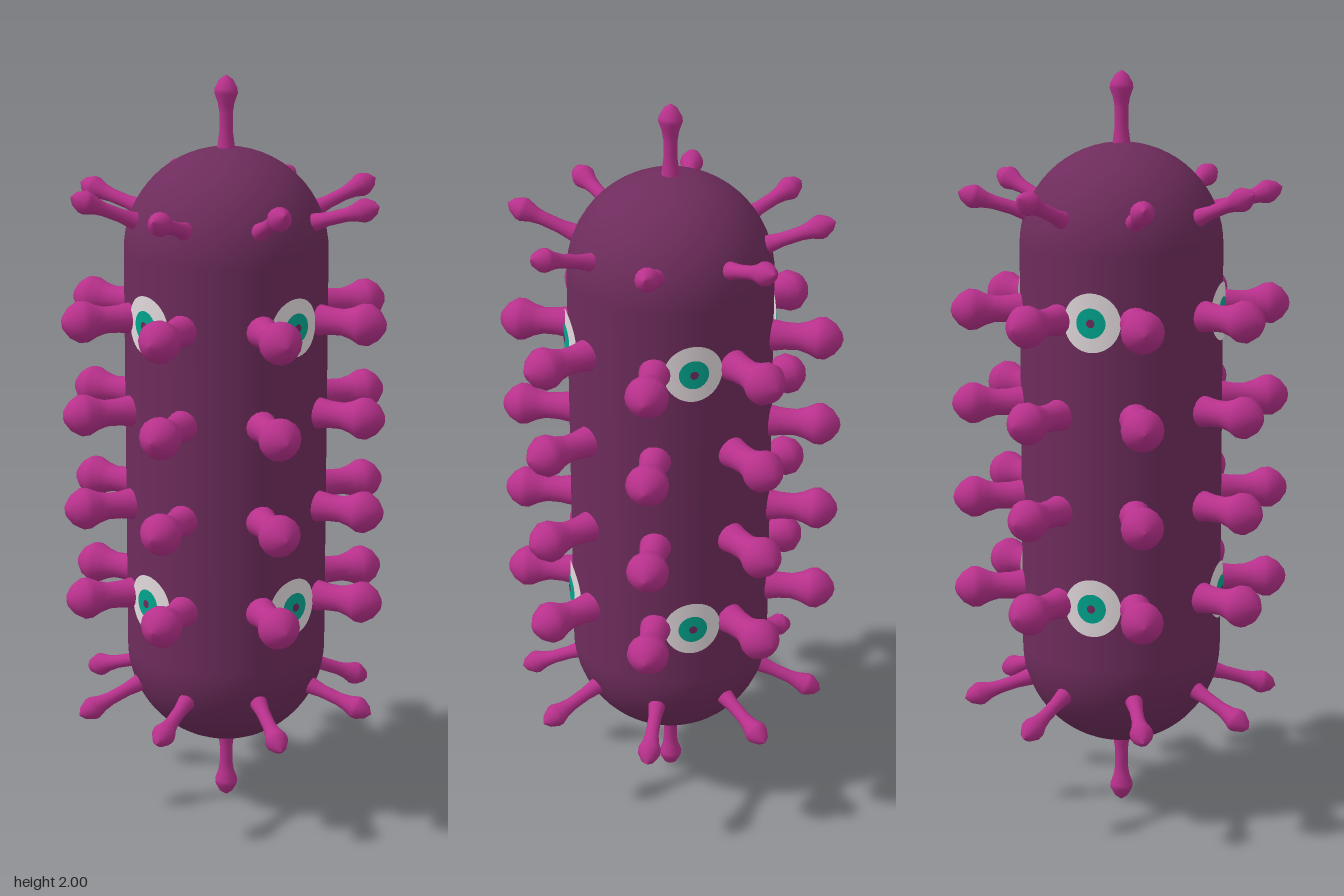
import * as THREE from 'three';

const CENTER = 1.0, RADIUS = 0.268, HALF = 0.545;

function material(name, color, side = THREE.FrontSide) {
  const m = new THREE.MeshStandardMaterial({ color, side });
  m.name = name;
  return m;
}

function lathe(points, segments) {
  return new THREE.LatheGeometry(points.map(([r, y]) => new THREE.Vector2(r, y)), segments);
}

// Disc wrapped around the body's cylinder, facing +z
function wrappedDisc(r, surface) {
  const geo = new THREE.RingGeometry(0.0001, r, 36, 5);
  const p = geo.attributes.position;
  for (let i = 0; i < p.count; i++) {
    const a = p.getX(i) / surface;
    p.setXYZ(i, Math.sin(a) * surface, p.getY(i), Math.cos(a) * surface);
  }
  geo.computeVertexNormals();
  return geo;
}

export function createModel() {
  const model = new THREE.Group();
  model.name = 'spikyCapsule';
  const purple = material('body purple', 0x6e2c5c);
  const pink = material('spike pink', 0xb8318c);
  const white = material('eye white', 0xe2d9dc, THREE.DoubleSide);
  const teal = material('iris teal', 0x00a58e, THREE.DoubleSide);

  const add = (name, geo, mat, parent = model) => {
    const mesh = new THREE.Mesh(geo, mat);
    mesh.name = name;
    parent.add(mesh);
    return mesh;
  };

  // Rounded body
  add('body', new THREE.CapsuleGeometry(RADIUS, HALF * 2, 16, 48), purple).position.y = CENTER;

  // Thick side spikes, measured from the body axis, and thin ones from their root
  const thick = lathe([[0.046, 0.23], [0.041, 0.27], [0.036, 0.3], [0.035, 0.335], [0.042, 0.36],
    [0.054, 0.385], [0.055, 0.405], [0.04, 0.43], [0.018, 0.447], [0, 0.452]], 16);
  const thin = lathe([[0.028, -0.03], [0.022, 0.01], [0.018, 0.04], [0.018, 0.09], [0.022, 0.115],
    [0.031, 0.14], [0.03, 0.152], [0.018, 0.174], [0, 0.187]], 14);

  const up = new THREE.Vector3(0, 1, 0);
  const spike = (name, geo, root, dir) => {
    const mesh = add(name, geo, pink);
    mesh.position.copy(root);
    mesh.quaternion.setFromUnitVectors(up, dir);
  };

  const rows = [-0.375, -0.125, 0.13, 0.38];
  for (let i = 0; i < 8; i++) {
    const a = i * Math.PI / 4;
    const out = new THREE.Vector3(Math.sin(a), 0, Math.cos(a));
    for (const y of rows) {
      spike('sideSpike', thick, new THREE.Vector3(0, CENTER + y, 0), out);
    }
    // Tilted spikes on both shoulders
    const tilt = (i % 2 ? 23 : 17) * Math.PI / 180;
    for (const s of [1, -1]) {
      const root = out.clone().multiplyScalar(0.25);
      root.y = CENTER + s * 0.635;
      const dir = out.clone().multiplyScalar(Math.cos(tilt));
      dir.y = s * Math.sin(tilt);
      spike('shoulderSpike', thin, root, dir);
    }
  }

  // Spikes at the two poles
  for (const s of [1, -1]) {
    const mesh = add('poleSpike', thin, pink);
    mesh.position.y = CENTER + s * (HALF + RADIUS);
    if (s < 0) mesh.rotation.x = Math.PI;
  }

  // Eyes between the spikes, four around at two heights
  const scleraGeo = wrappedDisc(0.077, 0.274);
  const irisGeo = wrappedDisc(0.039, 0.278);
  const pupilGeo = wrappedDisc(0.011, 0.281);
  for (const y of [rows[0], rows[3]]) {
    for (let i = 0; i < 4; i++) {
      const eye = new THREE.Group();
      eye.name = 'eye';
      add('eyeWhite', scleraGeo, white, eye);
      add('iris', irisGeo, teal, eye);
      add('pupil', pupilGeo, purple, eye);
      eye.position.y = CENTER + y;
      eye.rotation.y = i * Math.PI / 2 - 0.42;
      model.add(eye);
    }
  }
  return model;
}
